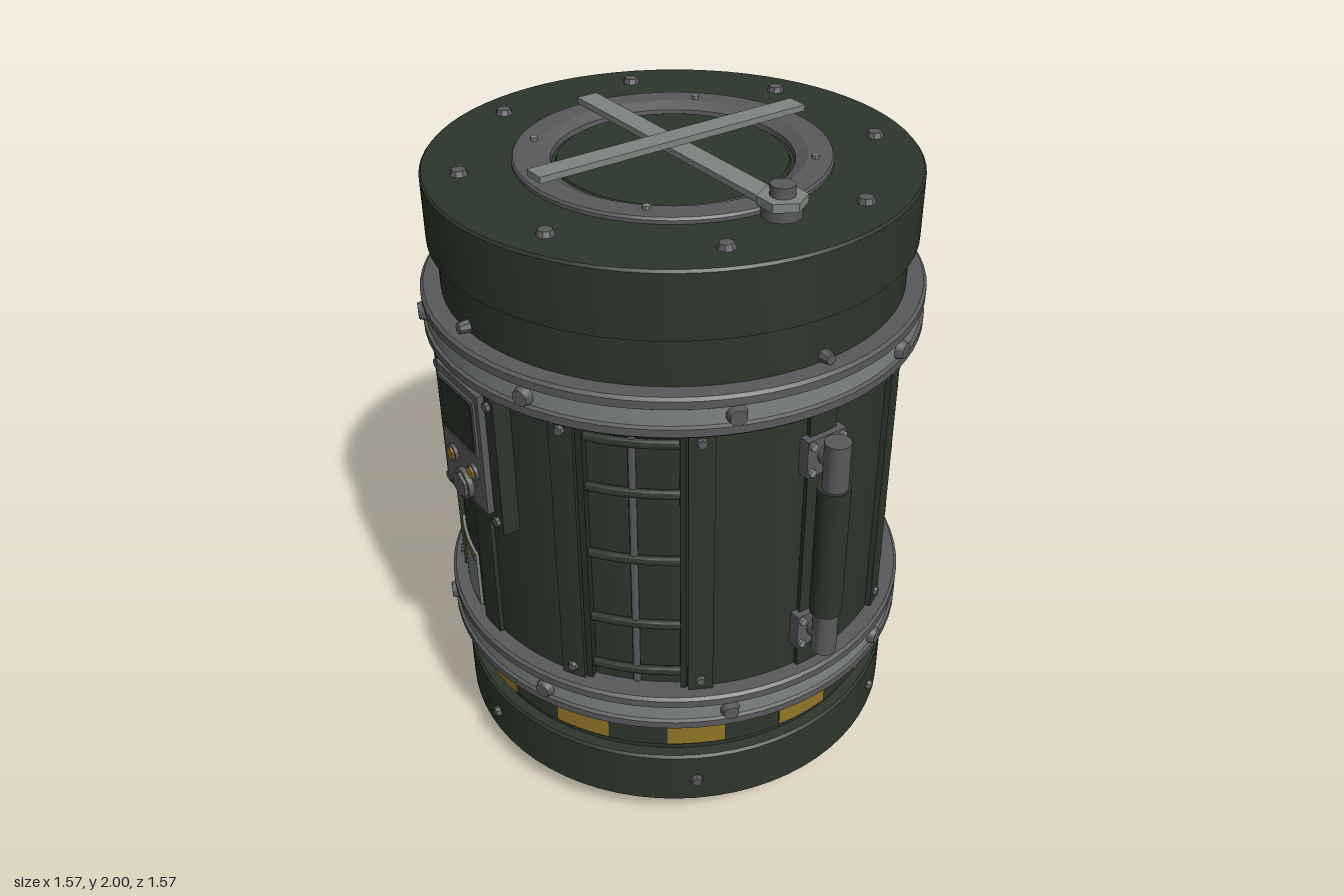
import * as THREE from 'three';
import { toCreasedNormals } from 'three/addons/utils/BufferGeometryUtils.js';

const paint = (name, color) => {
  const m = new THREE.MeshStandardMaterial({ color });
  m.name = name;
  return m;
};
const D = Math.PI / 180;

export function createModel() {
  const green = paint('drab green', 0x2d362c);
  const darkGreen = paint('dark green', 0x262f27);
  const steel = paint('steel', 0x5a5a5d);
  const light = paint('light metal', 0x7e8681);
  const yellow = paint('hazard yellow', 0x927528);

  const model = new THREE.Group();
  model.name = 'container';
  const drum = new THREE.Group();
  drum.name = 'drum';
  drum.position.z = 0.047;
  model.add(drum);

  const add = (name, geo, mat, x = 0, y = 0, z = 0, parent = drum) => {
    const m = new THREE.Mesh(geo, mat);
    m.name = name;
    m.position.set(x, y, z);
    parent.add(m);
    return m;
  };
  const box = (name, mat, w, h, d, x, y, z, parent) =>
    add(name, new THREE.BoxGeometry(w, h, d), mat, x, y, z, parent);
  const cyl = (name, mat, r, h, x, y, z, sides = 20, parent = drum, r2 = r) =>
    add(name, toCreasedNormals(new THREE.CylinderGeometry(r2, r, h, sides), 0.7), mat, x, y, z, parent);
  // cylinder pointing along +z
  const peg = (name, mat, r, h, x, y, z, sides = 16, parent = drum, r2 = r) => {
    const m = cyl(name, mat, r, h, x, y, z, sides, parent, r2);
    m.rotation.x = Math.PI / 2;
    return m;
  };
  const lathe = (name, mat, pts) => add(name, toCreasedNormals(
    new THREE.LatheGeometry(pts.map(p => new THREE.Vector2(...p)), 72), 0.4), mat);
  // curved slab around the axis; angle 0 is the front, 90 is +x
  const arc = (name, mat, r0, r1, a0, a1, y0, y1) => {
    const s = new THREE.Shape();
    s.absarc(0, 0, r1, (a0 - 90) * D, (a1 - 90) * D, false);
    s.absarc(0, 0, r0, (a1 - 90) * D, (a0 - 90) * D, true);
    const g = new THREE.ExtrudeGeometry(s, {
      depth: y1 - y0, bevelEnabled: false, curveSegments: Math.max(4, Math.ceil((a1 - a0) / 4)),
    }).rotateX(-Math.PI / 2);
    return add(name, toCreasedNormals(g, 0.4), mat, 0, y0, 0);
  };
  // group whose local z points outwards at the given angle
  const turned = (name, angle) => {
    const g = new THREE.Group();
    g.name = name;
    g.rotation.y = angle * D;
    drum.add(g);
    return g;
  };
  const radialBolt = (name, mat, angle, r, y, size, h = 0.02, sides = 8) => {
    const g = turned(name, angle);
    peg('boltHead', mat, size, h, 0, y, r + h / 2, sides, g, size * 0.75);
  };

  // drum shell: base, groove, stripe band, wall, neck and lid
  lathe('shell', green, [
    [0, 0.1], [0.685, 0.1], [0.692, 0.107], [0.692, 0.28], [0.685, 0.288], [0.655, 0.29], [0.655, 0.315],
    [0.669, 0.318], [0.669, 0.44], [0.65, 0.44], [0.65, 1.57], [0.666, 1.57], [0.666, 1.72],
    [0.692, 1.724], [0.692, 1.908], [0.686, 1.915], [0.36, 1.915], [0.335, 1.9], [0, 1.9],
  ]);

  // feet
  for (const x of [-1, 1]) for (const z of [-1, 1])
    cyl('foot', green, 0.087, 0.11, x * 0.327, 0.055, z * 0.327, 28);

  // hazard stripes
  for (let i = 0; i < 12; i++)
    arc('hazardStripe', yellow, 0.665, 0.673, i * 30 - 7.5, i * 30 + 7.5, 0.325, 0.416);

  // base bolts
  for (let i = 0; i < 6; i++) radialBolt('baseBolt', steel, i * 60, 0.69, 0.19, 0.019, 0.016);

  // two clamp bands with bolts
  for (const y of [0.496, 1.518]) {
    lathe('clampBand', steel, [
      [0.65, y - 0.061], [0.715, y - 0.061], [0.724, y - 0.053], [0.724, y - 0.03], [0.712, y - 0.024],
      [0.712, y + 0.024], [0.724, y + 0.03], [0.724, y + 0.053], [0.715, y + 0.061], [0.65, y + 0.061],
    ]);
    arc('bandInlay', light, 0.705, 0.715, 0, 180, y - 0.024, y + 0.024);
    arc('bandInlay', light, 0.705, 0.715, 180, 360, y - 0.024, y + 0.024);
    for (let i = 0; i < 8; i++) radialBolt('bandBolt', steel, 22.5 + i * 45, 0.71, y, 0.031, 0.026, 10);
  }
  for (let i = 0; i < 4; i++) {
    radialBolt('edgeBolt', steel, i * 90, 0.665, 0.42, 0.02, 0.03);
    radialBolt('edgeBolt', steel, i * 90, 0.665, 1.596, 0.02, 0.03);
  }

  // wall quarters, raised seams, and ribbed recesses between rails
  for (let i = 0; i < 4; i++) {
    const a = i * 90, c = a + 45;
    arc('wallPanel', green, 0.64, 0.669, a - 33.5, a + 33.5, 0.55, 1.47);
    arc('seamStrip', green, 0.66, 0.683, a - 3.8, a + 3.8, 0.55, 1.47);
    for (const s of [-1, 1]) {
      const m = c + s * 15.8;
      arc('rail', green, 0.66, 0.686, m - 3, m + 3, 0.56, 1.455);
      arc('railLip', darkGreen, 0.645, 0.676, c + s * 11.8 - 0.8, c + s * 11.8 + 0.8, 0.56, 1.455);
      for (const y of [0.595, 1.42]) radialBolt('railBolt', steel, m, 0.684, y, 0.017, 0.012);
    }
    for (const y of [0.61, 0.785, 1.015, 1.24, 1.4]) {
      const rib = new THREE.TorusGeometry(0.658, 0.014, 8, 10, 23 * D);
      rib.rotateX(Math.PI / 2).rotateY((c + 11.5 - 90) * D);
      add('rib', toCreasedNormals(rib, 0.9), green, 0, y, 0);
    }
    const g = turned('recessRod', c);
    cyl('rod', steel, 0.011, 0.89, 0, 1.008, 0.652, 10, g);
  }

  // side grips
  for (const a of [-90, 90]) {
    const g = turned('sideGrip', a);
    cyl('gripSleeve', green, 0.047, 0.43, 0, 1.01, 0.74, 20, g);
    for (const s of [-1, 1]) {
      const y = 1.008 + s * 0.303;
      cyl('gripEnd', steel, 0.037, 0.145, 0, 1.01 + s * 0.288, 0.742, 18, g);
      box('gripBracket', steel, 0.13, 0.115, 0.035, 0, y, 0.683, g);
      peg('gripPost', steel, 0.032, 0.06, 0, y, 0.715, 14, g);
      for (const x of [-1, 1]) for (const v of [-1, 1])
        peg('bracketBolt', light, 0.012, 0.01, x * 0.05, y + v * 0.042, 0.705, 8, g);
    }
  }

  // curved rear handle with two mounts
  const rear = turned('rearHandle', 180);
  const path = new THREE.CatmullRomCurve3([
    [0.72, 1.26], [0.765, 1.24], [0.8, 1.16], [0.813, 1.05], [0.797, 0.95], [0.76, 0.88], [0.71, 0.862],
  ].map(([z, y]) => new THREE.Vector3(0, y, z)));
  add('handleBar', new THREE.TubeGeometry(path, 28, 0.019, 10), green, 0, 0, 0, rear);
  box('mountPlate', steel, 0.13, 0.14, 0.03, 0, 1.235, 0.685, rear);
  peg('upperMount', steel, 0.062, 0.03, 0, 1.235, 0.715, 20, rear);
  peg('upperBoss', steel, 0.042, 0.04, 0, 1.245, 0.745, 16, rear);
  box('mountPlate', steel, 0.13, 0.1, 0.03, 0, 0.865, 0.685, rear);
  peg('lowerBoss', steel, 0.045, 0.05, 0, 0.865, 0.715, 16, rear);

  // front control panel
  const panel = turned('controlPanel', 0);
  box('backPlate', green, 0.33, 0.44, 0.055, 0, 1.23, 0.671, panel);
  box('facePlate', steel, 0.235, 0.385, 0.024, 0, 1.257, 0.706, panel);
  box('screenFrame', steel, 0.2, 0.18, 0.008, 0, 1.335, 0.721, panel);
  box('screen', darkGreen, 0.176, 0.155, 0.006, 0, 1.335, 0.724, panel);
  for (const s of [-1, 1]) {
    peg('buttonCollar', steel, 0.026, 0.012, s * 0.058, 1.178, 0.722, 16, panel);
    peg('button', yellow, 0.02, 0.014, s * 0.058, 1.178, 0.727, 6, panel);
    for (const y of [1.045, 1.425]) peg('panelBolt', steel, 0.015, 0.012, s * 0.138, y, 0.704, 8, panel);
  }
  peg('knobBase', steel, 0.047, 0.02, 0, 1.108, 0.724, 20, panel);
  peg('knob', steel, 0.04, 0.014, 0, 1.108, 0.736, 6, panel);

  // name plate with a yellow header
  arc('namePlate', light, 0.665, 0.678, -26, -8, 0.562, 0.757);
  arc('namePlateHeader', yellow, 0.674, 0.68, -25.2, -9.5, 0.728, 0.75);
  for (const a of [-25, -9]) for (const y of [0.58, 0.735])
    radialBolt('plateRivet', steel, a, 0.677, y, 0.007, 0.005, 6);

  // lid: hatch ring, bolts, cross bars and locking nut
  lathe('hatchRing', steel, [
    [0.335, 1.9], [0.443, 1.91], [0.443, 1.925], [0.438, 1.932], [0.37, 1.932], [0.337, 1.915], [0.335, 1.9],
  ]);
  lathe('hatchCover', green, [[0.325, 1.9], [0.32, 1.91], [0, 1.91]]);
  for (let i = 0; i < 8; i++) {
    const a = (22.5 + i * 45) * D;
    cyl('lidBolt', steel, 0.027, 0.018, Math.sin(a) * 0.586, 1.921, Math.cos(a) * 0.586, 8, drum, 0.02);
  }
  for (const x of [-1, 1]) for (const z of [-1, 1])
    cyl('ringBolt', light, 0.011, 0.012, x * 0.277, 1.936, z * 0.277, 8);
  box('crossBar', light, 0.9, 0.018, 0.066, 0.01, 1.944, 0);
  box('crossBar', light, 0.066, 0.018, 0.88, 0, 1.962, 0);
  cyl('nutBase', steel, 0.054, 0.04, 0.475, 1.93, 0, 20);
  cyl('lockNut', light, 0.067, 0.024, 0.475, 1.958, 0, 6).rotation.y = Math.PI / 6;
  cyl('nutStud', steel, 0.034, 0.034, 0.475, 1.983, 0, 16);

  return model;
}
